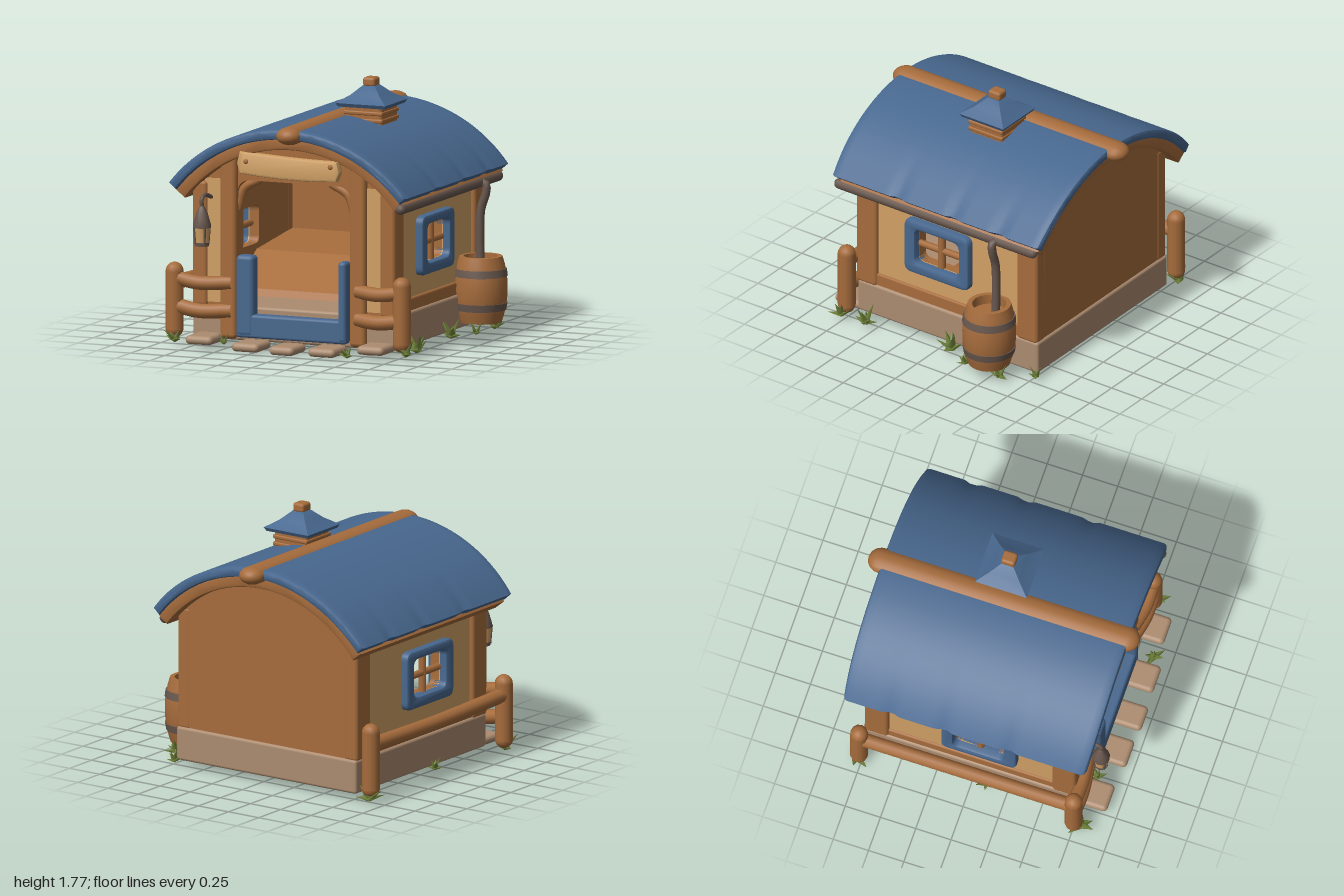
import * as THREE from 'three';
import { toCreasedNormals } from 'three/addons/utils/BufferGeometryUtils.js';
import { RoundedBoxGeometry } from 'three/addons/geometries/RoundedBoxGeometry.js';

const mat = (name, color) => Object.assign(new THREE.MeshStandardMaterial({ color }), { name });
const M = {
  blue: mat('roofBlue', 0x48688f), wood: mat('wood', 0xa66c3c), cream: mat('plaster', 0xd0a065),
  stone: mat('stone', 0xac8c70), iron: mat('iron', 0x68574e), grass: mat('grass', 0x70833a),
};
const V = (x, y, z) => new THREE.Vector3(x, y, z);

export function createModel() {
  const model = new THREE.Group();
  const house = new THREE.Group();
  house.name = 'house';
  house.position.x = -0.04;
  model.add(house);

  const add = (parent, name, geo, material, x = 0, y = 0, z = 0) => {
    const m = new THREE.Mesh(geo, material);
    m.name = name;
    m.position.set(x, y, z);
    parent.add(m);
    return m;
  };
  // Softened block given by its low and high corners
  const block = (parent, name, material, x0, x1, y0, y1, z0, z1, r = 0.015) =>
    add(parent, name, new RoundedBoxGeometry(x1 - x0, y1 - y0, z1 - z0, 2, r), material,
      (x0 + x1) / 2, (y0 + y1) / 2, (z0 + z1) / 2);
  const rect = (x0, x1, y0, y1, r, Type = THREE.Shape) => {
    const s = new Type();
    s.moveTo(x0 + r, y0).lineTo(x1 - r, y0).quadraticCurveTo(x1, y0, x1, y0 + r)
      .lineTo(x1, y1 - r).quadraticCurveTo(x1, y1, x1 - r, y1)
      .lineTo(x0 + r, y1).quadraticCurveTo(x0, y1, x0, y1 - r)
      .lineTo(x0, y0 + r).quadraticCurveTo(x0, y0, x0 + r, y0);
    return s;
  };
  const extrude = (shape, depth, bevel = 0, steps = 1) => new THREE.ExtrudeGeometry(shape, {
    depth: depth - 2 * bevel, steps, curveSegments: 20, bevelEnabled: bevel > 0,
    bevelThickness: bevel, bevelSize: bevel, bevelOffset: -bevel, bevelSegments: 2,
  }).translate(0, 0, bevel);
  const tube = (parent, name, material, pts, r) =>
    add(parent, name, new THREE.TubeGeometry(new THREE.CatmullRomCurve3(pts), 24, r, 10), material);
  const lathe = (pts, n = 24) =>
    toCreasedNormals(new THREE.LatheGeometry(pts.map(p => new THREE.Vector2(...p)), n), 0.7);

  // Arched roof: tiles over a timber layer
  const CY = 0.392;
  const arch = (r0, r1, a) => {
    const s = new THREE.Shape();
    s.absarc(0, CY, r1, Math.PI / 2 - a, Math.PI / 2 + a, false);
    s.absarc(0, CY, r0, Math.PI / 2 + a, Math.PI / 2 - a, true);
    return s;
  };
  const tiles = extrude(arch(1.062, 1.13, 0.885), 1.75, 0.022, 40).translate(0, 0, -0.9);
  const p = tiles.attributes.position;
  for (let i = 0; i < p.count; i++) {
    const x = p.getX(i), z = p.getZ(i), edge = Math.pow(Math.abs(x) / 0.87, 5);
    // Notch the eaves where two tile rows meet
    const dip = [-0.56, -0.17, 0.3].reduce((d, s) => d + Math.exp(-(((z - s) / 0.035) ** 2)), 0);
    p.setX(i, x * (1 - 0.022 * dip * edge));
    p.setZ(i, z * (1 - 0.025 * edge));
  }
  add(house, 'roofTiles', toCreasedNormals(tiles, 0.6), M.blue);
  add(house, 'roofTimber', toCreasedNormals(extrude(arch(0.985, 1.075, 0.9), 1.65, 0.015), 0.6), M.wood, 0, 0, -0.86);
  const ridge = new THREE.CapsuleGeometry(0.09, 1.74, 6, 16).rotateX(Math.PI / 2).scale(1, 0.68, 1);
  add(model, 'ridgeBeam', ridge, M.wood, -0.02, 1.482, -0.04);

  // Stone base, which is also the floor
  block(house, 'stoneBase', M.stone, -0.745, 0.745, 0.05, 0.285, -0.785, 0.71, 0.02);

  // Gable walls, the front one with a doorway
  const gable = () => {
    const s = new THREE.Shape();
    const a = Math.acos(0.73 / 1.03);
    s.moveTo(-0.73, 0.28).lineTo(0.73, 0.28);
    s.absarc(0, CY, 1.03, a, Math.PI - a, false);
    return s;
  };
  add(house, 'backWall', toCreasedNormals(extrude(gable(), 0.08), 0.5), M.wood, 0, 0, -0.77);
  const front = gable();
  front.holes.push(rect(-0.42, 0.41, 0.281, 1.14, 0.1, THREE.Path));
  add(house, 'frontWall', toCreasedNormals(extrude(front, 0.08), 0.5), M.wood, 0, 0, 0.62);
  for (const s of [-1, 1]) {
    block(house, 'doorPillar', M.wood, s * 0.475 - 0.06, s * 0.475 + 0.06, 0.06, 1.3, 0.6, 0.745, 0.03);
    add(house, 'frontPanel', new THREE.BoxGeometry(0.13, 0.84, 0.008), M.cream, s * 0.59, 0.72, 0.704);
    for (const z of [-0.69, 0.64])
      block(house, 'cornerPost', M.wood, s * 0.69 - 0.055, s * 0.69 + 0.055, 0.27, 1.12, z - 0.085, z + 0.085, 0.025);
    // Curved brace in the doorway corner
    tube(house, 'doorBrace', M.wood, [V(s * 0.43, 0.94, 0.67), V(s * 0.38, 1.08, 0.67), V(s * 0.26, 1.15, 0.67)], 0.03);

    // Side wall, plaster and window; shapes are drawn with x = -z
    const hole = () => rect(-0.22, 0.14, 0.58, 0.84, 0.05, THREE.Path);
    const side = (name, shape, depth, bevel, material, x) => {
      shape.holes.push(hole());
      const g = extrude(shape, depth, bevel).translate(0, 0, -depth / 2).rotateY(Math.PI / 2);
      add(house, name, toCreasedNormals(g, 0.6), material, s * x, 0, 0);
    };
    side('sideWall', rect(-0.7, 0.77, 0.28, 1.09, 0.01), 0.07, 0, M.wood, 0.672);
    side('sidePlaster', rect(-0.56, 0.61, 0.37, 1.02, 0.02), 0.008, 0, M.cream, 0.711);
    side('windowFrame', rect(-0.31, 0.225, 0.5, 0.905, 0.06), 0.12, 0.02, M.blue, 0.71);
    block(house, 'sillBeam', M.wood, s * 0.705 - 0.025, s * 0.705 + 0.025, 0.27, 0.37, -0.62, 0.58);
    tube(house, 'windowBar', M.wood, [V(s * 0.7, 0.57, 0.04), V(s * 0.7, 0.85, 0.04)], 0.027);
    tube(house, 'windowBar', M.wood, [V(s * 0.7, 0.71, -0.16), V(s * 0.7, 0.71, 0.24)], 0.024);
  }

  // Interior bench and back rail
  const bench = new THREE.Shape();
  bench.moveTo(-0.28, 0.28).lineTo(0.7, 0.28).lineTo(0.7, 0.6).lineTo(0.1, 0.54).lineTo(-0.24, 0.33);
  const benchGeo = extrude(bench, 1.28).translate(0, 0, -0.64).rotateY(Math.PI / 2);
  add(house, 'bench', benchGeo, M.wood);
  block(house, 'backRail', M.wood, -0.64, 0.64, 0.93, 1.0, -0.71, -0.67);

  // Blue gate frame
  block(model, 'gateBoard', M.blue, -0.44, 0.37, 0.08, 0.24, 0.68, 0.78, 0.02);
  block(model, 'gatePost', M.blue, -0.44, -0.31, 0.09, 0.64, 0.68, 0.785, 0.03);
  block(model, 'gatePost', M.blue, 0.31, 0.37, 0.09, 0.64, 0.68, 0.785, 0.025);

  // Sagging sign board with pegs
  const sign = new THREE.Shape();
  sign.moveTo(-0.36, 1.2).quadraticCurveTo(0, 1.16, 0.35, 1.185).lineTo(0.375, 1.25).lineTo(0.355, 1.32)
    .quadraticCurveTo(0, 1.32, -0.36, 1.35).lineTo(-0.38, 1.27);
  add(house, 'signBoard', toCreasedNormals(extrude(sign, 0.07, 0.015), 0.6), M.cream, 0, 0, 0.74);
  for (const x of [-0.31, 0.31])
    add(house, 'signPeg', new THREE.SphereGeometry(0.018, 10, 8).scale(1, 1, 0.5), M.wood, x, 1.285, 0.81);

  // Roof vent with a pyramid cap
  const vent = new THREE.Group();
  vent.name = 'roofVent';
  vent.position.set(0.18, 0, -0.07);
  model.add(vent);
  block(vent, 'ventBox', M.wood, -0.135, 0.135, 1.36, 1.6, -0.135, 0.135, 0.02);
  for (const y of [1.49, 1.54]) block(vent, 'ventSlat', M.wood, -0.142, 0.142, y - 0.014, y + 0.014, -0.142, 0.142, 0.01);
  const cap = lathe([[0, 1.58], [0.24, 1.58], [0.26, 1.605], [0.15, 1.655], [0.06, 1.715], [0, 1.72]], 4);
  add(vent, 'ventCap', cap.rotateY(Math.PI / 4), M.blue);
  add(vent, 'ventFinial', new RoundedBoxGeometry(0.09, 0.065, 0.1, 2, 0.02), M.wood, 0, 1.738, 0);

  // Gutter, downpipe and rain barrel on the left side
  tube(model, 'gutter', M.iron, [V(0.785, 1.03, -0.8), V(0.785, 1.03, 0.8)], 0.036);
  for (const z of [-0.8, 0.8]) add(model, 'gutterEnd', new THREE.SphereGeometry(0.036, 10, 8), M.iron, 0.785, 1.03, z);
  tube(model, 'downpipe', M.iron, [V(0.78, 1.03, -0.5), V(0.83, 1.02, -0.5), V(0.83, 0.96, -0.5),
    V(0.795, 0.85, -0.5), V(0.785, 0.68, -0.5), V(0.79, 0.46, -0.5)], 0.029);
  const R = y => 0.182 - 0.75 * (y - 0.32) ** 2;
  const barrel = [[0, 0.09]];
  for (let i = 0; i <= 8; i++) barrel.push([R(0.09 + i * 0.056), 0.09 + i * 0.056]);
  barrel.push([0.115, 0.538], [0.115, 0.47], [0, 0.47]);
  add(model, 'barrel', lathe(barrel), M.wood, 0.81, 0, -0.46);
  for (const y of [0.2, 0.43]) {
    const band = [-0.025, 0, 0.025].map(d => [R(y + d) + 0.006, y + d]);
    add(model, 'barrelBand', lathe([[0.14, y - 0.025], ...band, [0.14, y + 0.025]]), M.iron, 0.81, 0, -0.46);
  }

  // Hanging lantern
  const lantern = new THREE.Group();
  lantern.name = 'lantern';
  lantern.position.set(-0.65, 0, 0.86);
  model.add(lantern);
  add(lantern, 'lanternGlass', lathe([[0, 0.715], [0.044, 0.715], [0.056, 0.84], [0, 0.84]], 12), M.cream);
  add(lantern, 'lanternBase', lathe([[0, 0.7], [0.048, 0.7], [0.05, 0.725], [0, 0.725]], 12), M.iron);
  add(lantern, 'lanternCap', lathe([[0, 0.825], [0.06, 0.825], [0.06, 0.85], [0.04, 0.92], [0.018, 0.97], [0, 0.975]], 12), M.iron);
  for (let i = 0; i < 4; i++) {
    const c = Math.cos(i * Math.PI / 2 + 0.785), s = Math.sin(i * Math.PI / 2 + 0.785);
    tube(lantern, 'lanternBar', M.iron, [V(c * 0.046, 0.71, s * 0.046), V(c * 0.057, 0.84, s * 0.057)], 0.008);
  }
  tube(lantern, 'lanternHook', M.iron, [V(0, 0.96, 0), V(0, 1.02, 0), V(0, 1.04, -0.05), V(0, 1.01, -0.16)], 0.014);

  // Fences
  const post = (x, z) => add(model, 'fencePost', new THREE.CapsuleGeometry(0.061, 0.39, 5, 12), M.wood, x, 0.305, z);
  post(-0.9, 0.75); post(0.77, 0.75); post(-0.9, -0.77);
  for (const [y, r] of [[0.44, 0.048], [0.25, 0.05]]) {
    tube(model, 'frontRail', M.wood, [V(-0.9, y + 0.02, 0.75), V(-0.72, y - 0.01, 0.75), V(-0.49, y, 0.72)], r);
    tube(model, 'frontRail', M.wood, [V(0.77, y + 0.01, 0.75), V(0.6, y - 0.01, 0.75), V(0.43, y, 0.72)], r);
  }
  tube(model, 'sideRail', M.wood, [V(-0.9, 0.41, -0.77), V(-0.895, 0.4, 0), V(-0.9, 0.42, 0.75)], 0.05);

  // Stepping stones
  for (const [x, y, z, w] of [[-0.65, 0.065, 0.81, 0.11], [-0.3, 0.04, 0.83, 0.11], [-0.03, 0.035, 0.84, 0.1],
    [0.26, 0.04, 0.83, 0.11], [0.6, 0.07, 0.79, 0.11]])
    add(model, 'steppingStone', new RoundedBoxGeometry(w * 1.8, 0.06, 0.24, 3, 0.03), M.stone, x, y, z);

  // Grass tufts of leaning blades
  const tuft = (x, z, s, y = 0.04) => {
    const g = new THREE.Group();
    g.name = 'grassTuft';
    g.position.set(x, y, z);
    model.add(g);
    for (let i = 0; i < 7; i++) {
      const h = s * (0.8 + 0.25 * Math.sin(i * 2.3 + x * 9));
      const blade = new THREE.ConeGeometry(0.26 * s, h, 4).scale(1, 1, 0.55).translate(0, h / 2, 0);
      const b = add(g, 'grassBlade', blade, M.grass);
      b.rotation.set(0.5 + 0.45 * (i % 3), i * 0.9 + z * 3, 0, 'YXZ');
    }
  };
  [[-0.88, 0.79, 0.13], [-0.52, 0.79, 0.08], [0.42, 0.87, 0.1, 0.02], [0.81, 0.77, 0.12], [-0.9, -0.79, 0.13],
    [0.8, 0.57, 0.13], [0.75, -0.1, 0.14], [0.85, -0.29, 0.09], [0.86, -0.58, 0.11], [0.72, -0.78, 0.09],
    [-0.8, 0.1, 0.1]].forEach(t => tuft(...t));
  return model;
}
